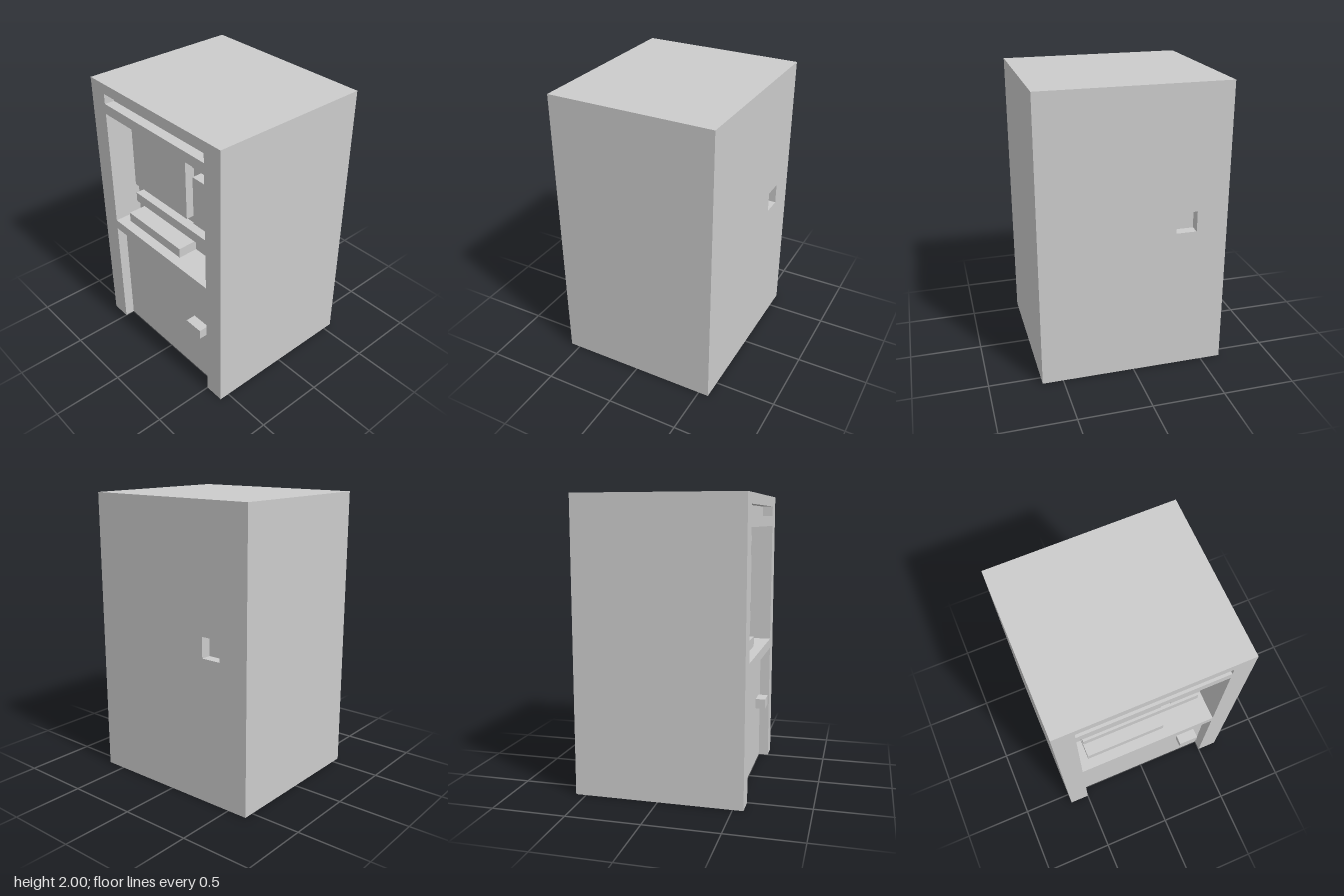
import * as THREE from 'three';

const U = 1 / 14; // module size: the cabinet is 18 x 28 x 16 modules
const W = 9, H = 28, D = 8; // half width, height, half depth

const material = new THREE.MeshStandardMaterial({ color: 0xcccccc });

function rect(path, x0, y0, x1, y1) {
  path.moveTo(x0, y0);
  path.lineTo(x1, y0);
  path.lineTo(x1, y1);
  path.lineTo(x0, y1);
  path.closePath();
  return path;
}

// Flat panel with rectangular holes
function panel(outline, holes = []) {
  const shape = new THREE.Shape(outline.map(([x, y]) => new THREE.Vector2(x, y)));
  for (const h of holes) shape.holes.push(rect(new THREE.Path(), ...h));
  return new THREE.ShapeGeometry(shape);
}

function block(x0, x1, y0, y1, z0, z1) {
  return new THREE.BoxGeometry(x1 - x0, y1 - y0, z1 - z0)
    .translate((x0 + x1) / 2, (y0 + y1) / 2, (z0 + z1) / 2);
}

// Inward-facing box; open lists the missing sides (0 +x, 1 -x, 2 +y, 3 -y, 4 +z, 5 -z)
function pocket(x0, x1, y0, y1, z0, z1, open) {
  const box = block(x0, x1, y0, y1, z0, z1);
  const src = box.index.array, index = [];
  for (let i = 0; i < src.length; i += 3) {
    if (!open.includes(Math.floor(i / 6))) index.push(src[i], src[i + 2], src[i + 1]);
  }
  box.setIndex(index);
  box.clearGroups();
  const geo = box.toNonIndexed();
  geo.computeVertexNormals();
  return geo;
}

export function createModel() {
  const model = new THREE.Group();
  model.name = 'kiosk';
  const body = new THREE.Group();
  body.name = 'body';
  body.scale.setScalar(U);
  model.add(body);
  const add = (name, geometry) => {
    const mesh = new THREE.Mesh(geometry, material);
    mesh.name = name;
    body.add(mesh);
  };

  // Cabinet faces
  add('frontFrame', panel(
    [[-W, 0], [-7, 0], [-7, 12], [7, 12], [7, 0], [W, 0], [W, H], [-W, H]],
    [[-7, 26, 7, 27], [-7, 13, 7, 25]]
  ).translate(0, 0, D));
  add('backPanel', panel(
    [[-W, 0], [W, 0], [W, H], [-W, H]], [[4, 14, 6, 16]]
  ).rotateY(Math.PI).translate(0, 0, -D));
  add('bottomPanel', panel(
    [[-W, -D], [W, -D], [W, D], [7, D], [7, D - 1], [-7, D - 1], [-7, D], [-W, D]]
      .map(([x, z]) => [x, z])
  ).rotateX(Math.PI / 2));
  add('topPanel', new THREE.PlaneGeometry(2 * W, 2 * D).rotateX(-Math.PI / 2).translate(0, H, 0));
  for (const [name, s] of [['leftPanel', 1], ['rightPanel', -1]]) {
    add(name, new THREE.PlaneGeometry(2 * D, H).rotateY(s * Math.PI / 2).translate(s * W, H / 2, 0));
  }

  // Recesses cut into the cabinet
  add('signRecess', pocket(-7, 7, 26, 27, D - 1, D, [4]));
  add('consoleRecess', pocket(-7, 7, 13, 25, D - 3, D, [4]));
  add('doorRecess', pocket(-7, 7, 0, 12, D - 1, D, [3, 4]));
  add('backSocket', pocket(-6, -4, 14, 16, -D, 1 - D, [5]));

  // Raised parts of the console and door
  add('screen', block(-6, 2, 17, 24, D - 3, D - 2));
  add('smallDisplay', block(3, 6, 23, 24, D - 3, D - 2));
  add('sidePanel', block(3, 6, 17, 22, D - 3, D - 2));
  add('consoleBar', block(-6, 6, 15, 16, D - 3, D - 2));
  add('keyboard', block(-6, 2, 13, 14, D - 3, D - 1));
  add('doorHandle', block(4, 6, 6, 7, D - 1, D));

  return model;
}
